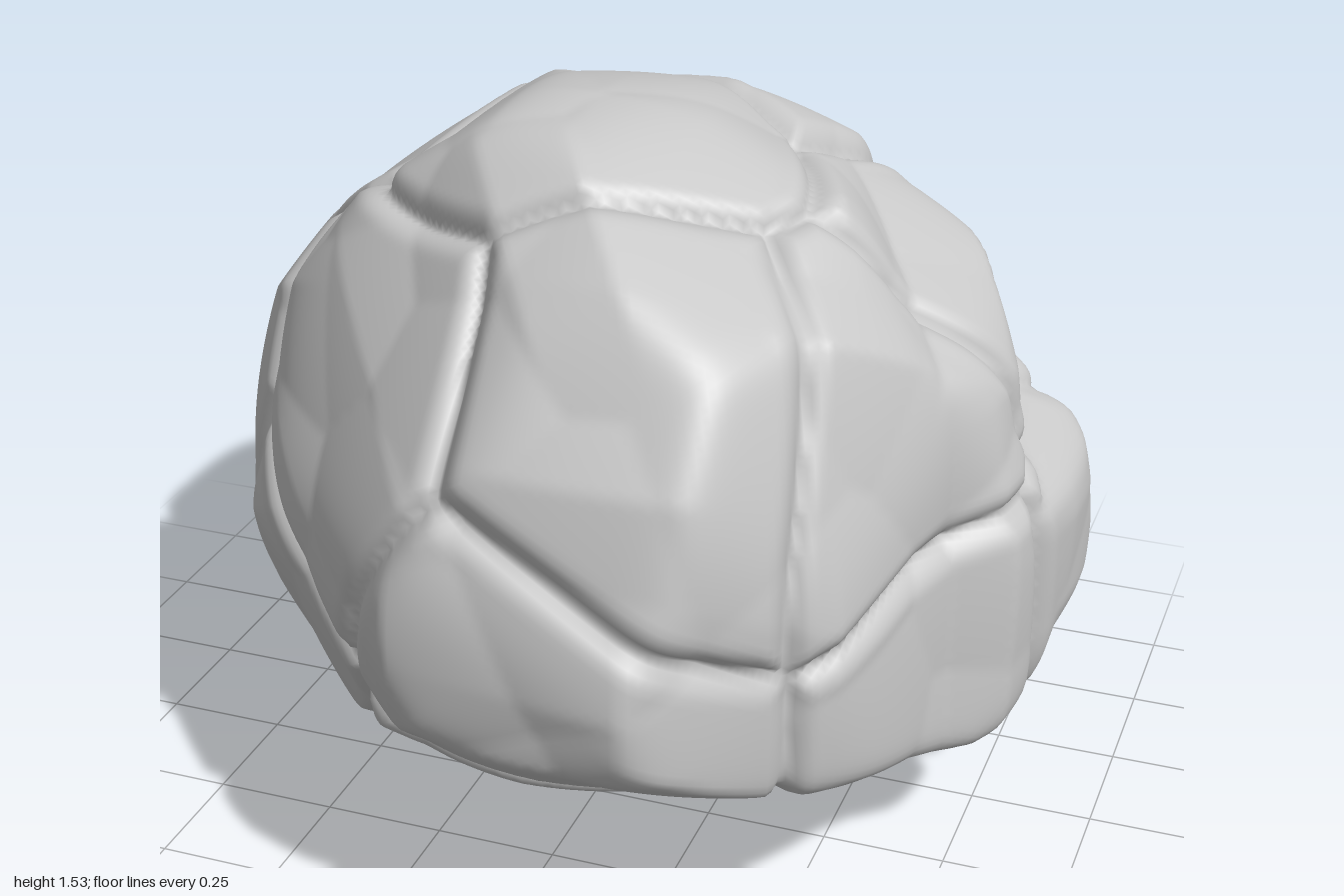
import * as THREE from 'three';
import { mergeVertices } from 'three/addons/utils/BufferGeometryUtils.js';

const CENTRE = 0.77; // height of the boulder's middle
const SOFT = 45; // how sharply the outlines meet
const TURN = THREE.MathUtils.degToRad(35), TILT = THREE.MathUtils.degToRad(25);

// Outlines around the middle, each swept along its own direction (azimuth, elevation)
const frontOutline = [[-.9, -.31], [-.87, -.15], [-.78, .23], [-.62, .43], [-.4, .62], [-.17, .74], [0, .77], [.2, .74],
  [.5, .63], [.7, .41], [.8, .23], [.9, -.12], [.9, -.33], [.84, -.48], [.7, -.62], [.5, -.69], [-.3, -.77], [-.6, -.63]];
const sideOutline = [[-1, -.12], [-.92, .11], [-.88, .28], [-.7, .58], [-.5, .73], [-.2, .77], [.3, .66], [.5, .5],
  [.78, .26], [.92, -.12], [1, -.29], [.8, -.53], [.5, -.68], [.1, -.77], [-.5, -.59], [-.95, -.27]];
const topOutline = [[.33, -1], [.63, -.65], [.74, -.3], [.84, -.2], [.9, .1], [.9, .4], [.8, .56], [.6, .65], [.42, .62],
  [.25, .8], [-.2, .95], [-.55, 1], [-.75, .88], [-.85, .65], [-.9, .3], [-.9, .05], [-.7, -.4], [-.15, -.92]];
const frontCorner = [[-.11, .71], [.22, .65], [.47, .51], [.66, .29], [.72, .11], [.85, -.06], [.94, -.33],
  [.89, -.49], [.71, -.64], [.51, -.71], [0, -.72], [-.4, -.67], [-.62, -.52], [-.79, -.11], [-.68, .34], [-.53, .49]];
const rearCorner = [[.22, .82], [.37, .73], [.6, .42], [.74, .11], [.79, -.19], [.77, -.47], [.61, -.6],
  [.28, -.83], [-.47, -.75], [-.77, -.52], [-.94, -.22], [-.89, .09], [-.68, .18], [-.65, .47], [-.41, .56], [-.29, .73]];
const rearUnderside = [[0, .72], [.26, .65], [.56, .52], [1.04, .09], [1.12, -.13], [1.05, -.37], [.89, -.51],
  [.34, -.79], [-.14, -.77], [-.53, -.65], [-.85, -.46], [-.9, -.13], [-.75, .37], [-.49, .6]];

// Middles of the stone plates; cracks run along the borders between them
const plates = [
  [0, .85, .15], [-.38, .15, .6], [.3, .3, .72], [.1, -.2, .85], [-.65, -.27, .45], [0, -.57, .6],
  [.7, .25, .4], [.78, -.35, .3], [.85, -.25, -.25], [.62, .4, -.15], [.62, .2, -.6], [.2, .55, -.45],
  [.4, -.08, -.75], [-.2, .2, -.8], [-.65, .2, -.4], [-.6, -.3, -.8], [-.8, -.1, .1], [0, -.75, .1],
].map((c) => new THREE.Vector3(...c));

// Screen-like axes of one sweep direction
function sweep(outline, az, el) {
  const right = new THREE.Vector3(Math.cos(az), 0, -Math.sin(az));
  const up = new THREE.Vector3(-Math.sin(az) * Math.sin(el), Math.cos(el), -Math.cos(az) * Math.sin(el));
  return { outline, right, up };
}

// Distance along the ray (a, b) to a closed outline
function rayToOutline(a, b, pts) {
  let far = 0;
  pts.forEach(([px, py], i) => {
    const [qx, qy] = pts[(i + 1) % pts.length];
    const ex = qx - px, ey = qy - py, det = a * ey - b * ex;
    if (Math.abs(det) < 1e-9) return;
    const t = (px * ey - py * ex) / det, k = (px * b - py * a) / det;
    if (k >= -1e-6 && k <= 1 + 1e-6) far = Math.max(far, t);
  });
  return far;
}

// Evenly spread, jittered directions that give the stone its shallow facets
function facetSites(n) {
  let seed = 7;
  const jitter = () => ((seed = (seed * 16807) % 2147483647) / 2147483647 - 0.5) * 0.25;
  return Array.from({ length: n }, (_, i) => {
    const y = 1 - 2 * (i + 0.5) / n, r = Math.sqrt(1 - y * y), a = i * 2.39996;
    return new THREE.Vector3(r * Math.cos(a) + jitter(), y + jitter(), r * Math.sin(a) + jitter()).normalize();
  });
}

// Height change at p: a small step for each plate, cut down along its cracks
function plateRelief(p) {
  const q = new THREE.Vector3(
    p.x + 0.03 * Math.sin(7 * p.y + 2 * p.z),
    p.y + 0.03 * Math.sin(6 * p.z + 3 * p.x),
    p.z + 0.03 * Math.sin(7 * p.x + 2 * p.y));
  const dist = plates.map((c) => q.distanceToSquared(c));
  const own = dist.indexOf(Math.min(...dist));
  let border = Infinity;
  plates.forEach((c, i) => {
    if (i !== own) border = Math.min(border, (dist[i] - dist[own]) / (2 * c.distanceTo(plates[own])));
  });
  const t = Math.max(0, 1 - border / 0.06);
  return (own % 3 - 1) * 0.006 * (1 - t) - 0.04 * t * t;
}

function boulderGeometry() {
  const sweeps = [
    sweep(frontOutline, 0, 0),
    sweep(sideOutline, Math.PI / 2, 0),
    sweep(topOutline, 0, Math.PI / 2),
    sweep(frontCorner, TURN, TILT),
    sweep(rearCorner, TURN + Math.PI, TILT),
    sweep(rearUnderside, Math.PI - TURN, -TILT),
  ];
  const sites = facetSites(70);
  const ball = new THREE.IcosahedronGeometry(1, 64);
  ball.deleteAttribute('uv');
  ball.deleteAttribute('normal');
  const geo = mergeVertices(ball, 1e-5);
  const pos = geo.attributes.position, d = new THREE.Vector3(), p = new THREE.Vector3();
  for (let i = 0; i < pos.count; i++) {
    d.fromBufferAttribute(pos, i).normalize();
    // Body: rounded intersection of the swept outlines
    let sum = 0;
    for (const s of sweeps) {
      const a = d.dot(s.right), b = d.dot(s.up);
      if (Math.hypot(a, b) > 1e-3) sum += rayToOutline(a, b, s.outline) ** -SOFT;
    }
    // Facets
    const near = Math.min(...sites.map((q) => d.distanceToSquared(q)));
    const r = sum ** (-1 / SOFT) * (1.02 - 0.2 * near);
    // Plates and cracks
    p.copy(d).multiplyScalar(r);
    p.addScaledVector(d, plateRelief(p));
    pos.setXYZ(i, p.x, Math.max(p.y, -CENTRE), p.z);
  }
  geo.computeVertexNormals();
  return geo;
}

export function createModel() {
  const group = new THREE.Group();
  group.name = 'rock';
  const stone = new THREE.MeshStandardMaterial({ color: 0xc8c8c8 });
  stone.name = 'stone grey';
  const boulder = new THREE.Mesh(boulderGeometry(), stone);
  boulder.name = 'boulder';
  boulder.position.y = CENTRE;
  group.add(boulder);
  return group;
}
